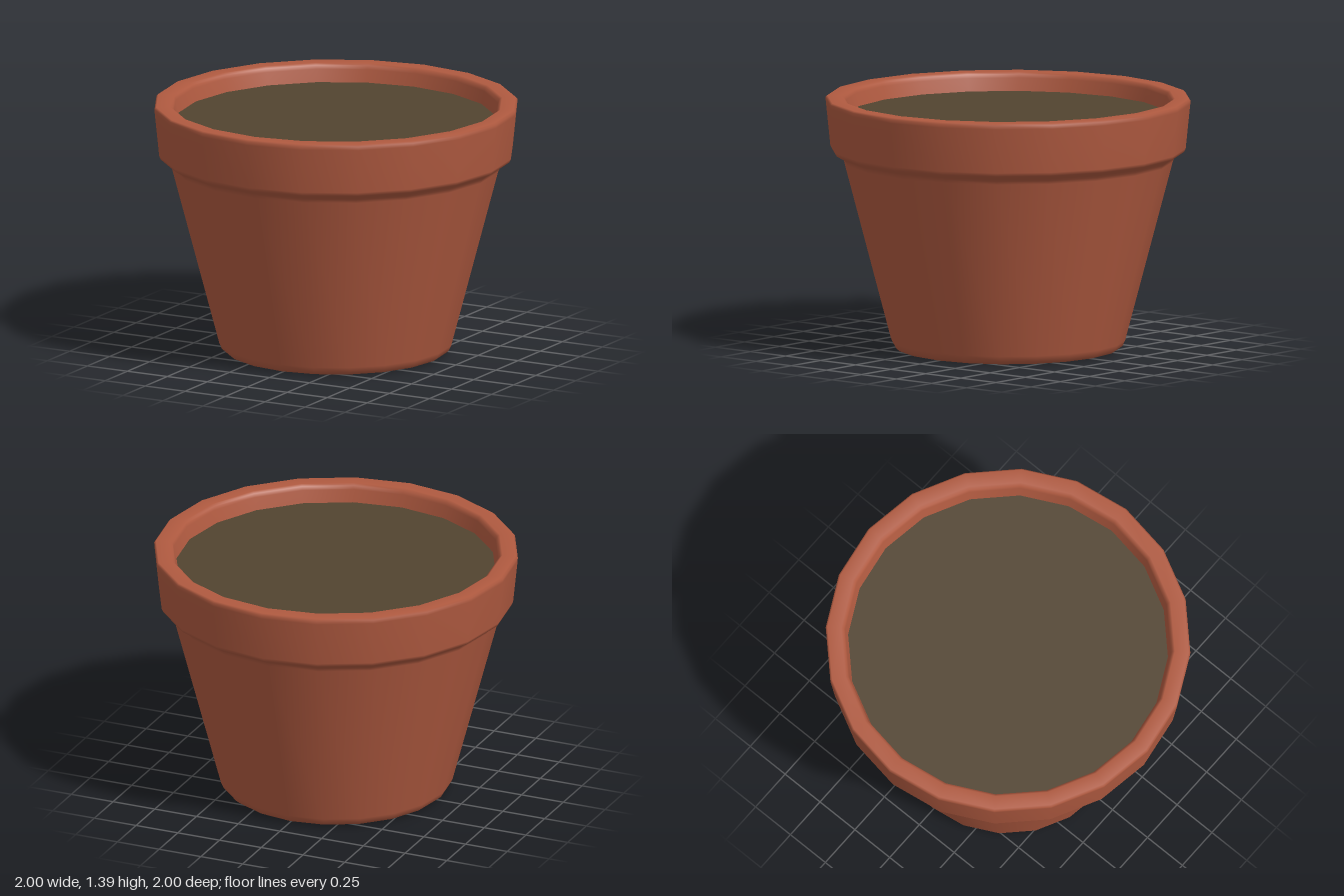
import * as THREE from 'three';

const SIDES = 20;

export function createModel() {
  const group = new THREE.Group();
  group.name = 'flowerPot';

  const terracotta = new THREE.MeshStandardMaterial({ color: 0xb05a40 });
  terracotta.name = 'terracotta';
  const earth = new THREE.MeshStandardMaterial({ color: 0x524430 });
  earth.name = 'earth';

  // Pot: closed base, tapered wall, flared collar and inner lip, in one profile
  const profile = [
    [0, 0], [0.59, 0], [0.61, 0.005], [0.628, 0.02], [0.642, 0.05],
    [0.903, 1.04], [0.912, 1.06], [0.93, 1.075],
    [0.965, 1.095], [0.974, 1.115],
    [0.999, 1.36], [1, 1.38], [0.99, 1.39],
    [0.915, 1.39], [0.9, 1.38], [0.893, 1.36], [0.87, 1.26],
  ].map(([r, y]) => new THREE.Vector2(r, y));
  const pot = new THREE.Mesh(new THREE.LatheGeometry(profile, SIDES), terracotta);
  pot.name = 'pot';
  group.add(pot);

  // Soil: flat disc sunk below the rim, its corners aligned with the pot's
  const soil = new THREE.Mesh(new THREE.CircleGeometry(0.877, SIDES), earth);
  soil.name = 'soil';
  soil.rotation.x = -Math.PI / 2;
  soil.position.y = 1.29;
  group.add(soil);

  return group;
}
